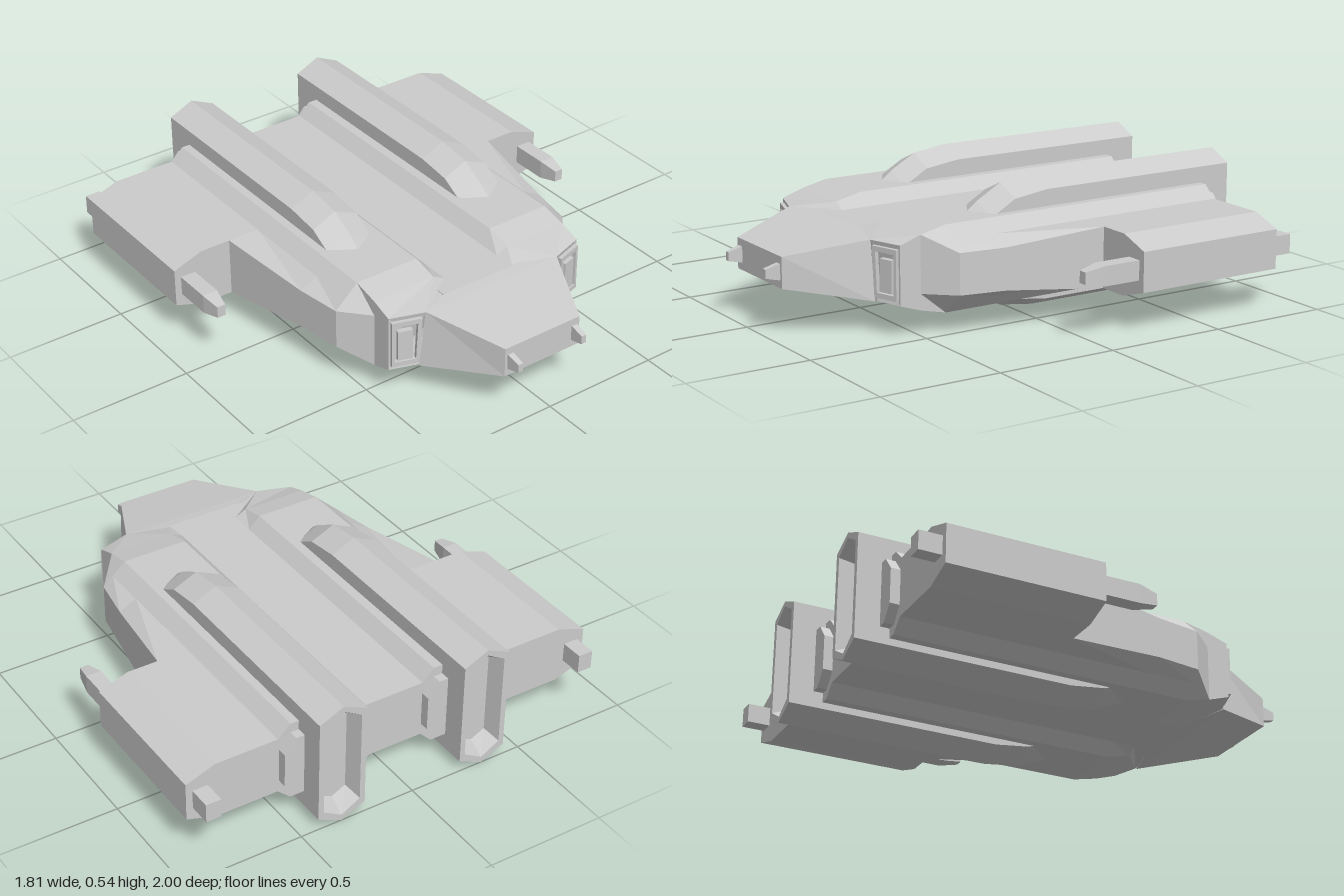
import * as THREE from 'three';

const material = new THREE.MeshStandardMaterial({ color: 0xcccccc, flatShading: true });

// Skin rings of [x, y, z] points (counter-clockwise seen from +z, listed back to front), capped at both ends
function loft(rings) {
  const pos = [];
  const tri = (a, b, c) => pos.push(...a, ...b, ...c);
  const n = rings[0].length;
  for (let i = 0; i < rings.length - 1; i++) {
    for (let j = 0; j < n; j++) {
      const k = (j + 1) % n, a = rings[i], b = rings[i + 1];
      tri(a[j], a[k], b[k]);
      tri(a[j], b[k], b[j]);
    }
  }
  const cap = (ring, front) => {
    const c = [0, 1, 2].map(d => ring.reduce((s, p) => s + p[d], 0) / n);
    ring.forEach((p, j) => {
      const q = ring[(j + 1) % n];
      if (front) tri(c, p, q); else tri(c, q, p);
    });
  };
  cap(rings[0], false);
  cap(rings[rings.length - 1], true);
  const geo = new THREE.BufferGeometry();
  geo.setAttribute('position', new THREE.Float32BufferAttribute(pos, 3));
  geo.computeVertexNormals();
  return geo;
}

const at = (points, z) => points.map(([x, y]) => [x, y, z]);
const rect = (x, w, y0, y1, z) => at([[x - w, y0], [x + w, y0], [x + w, y1], [x - w, y1]], z);
const flip = rings => rings.map(r => r.map(([x, y, z]) => [-x, y, z]).reverse());

export function createModel() {
  const model = new THREE.Group();
  const add = (name, geo, parent = model) => {
    const mesh = new THREE.Mesh(geo, material);
    mesh.name = name;
    parent.add(mesh);
    return mesh;
  };
  const addPair = (name, rings) => {
    add(name + 'Left', loft(rings));
    add(name + 'Right', loft(flip(rings)));
  };

  // Wing slab with chamfered tips
  const wing = [[-0.78, 0.13], [0.78, 0.13], [0.905, 0.17], [0.905, 0.33],
    [0.78, 0.375], [-0.78, 0.375], [-0.905, 0.33], [-0.905, 0.17]];
  add('wing', loft([at(wing, -0.86), at(wing, -0.21)]));

  // Central hull running into the tapered nose
  const nose = (top, bottom, y0, y1, z) => at([[-bottom, y0], [bottom, y0], [top, y1], [-top, y1]], z);
  add('hullAndNose', loft([
    nose(0.2, 0.2, 0.13, 0.375, -0.22),
    nose(0.2, 0.2, 0.13, 0.375, 0.59),
    nose(0.32, 0.35, 0.135, 0.37, 0.635),
    nose(0.18, 0.18, 0.19, 0.315, 0.94),
  ]));

  // Long side pods with faceted front ends
  const pod = [[0.13, 0.13], [0.18, 0.08], [0.46, 0.08], [0.56, 0.17],
    [0.56, 0.335], [0.46, 0.425], [0.18, 0.425], [0.13, 0.375]];
  const podShoulder = [[0.13, 0.13], [0.18, 0.105], [0.46, 0.105], [0.46, 0.17],
    [0.46, 0.335], [0.46, 0.4], [0.18, 0.4], [0.13, 0.375]];
  addPair('pod', [
    at(pod, -0.86),
    at(pod, 0.39),
    at(podShoulder, 0.5),
    [[0.13, 0.135, 0.6], [0.35, 0.135, 0.627], [0.46, 0.135, 0.59], [0.46, 0.17, 0.59],
      [0.46, 0.335, 0.59], [0.46, 0.37, 0.59], [0.32, 0.37, 0.637], [0.13, 0.37, 0.6]],
  ]);

  // Octagonal engine blocks behind the pods
  const engine = [[0.18, 0.12], [0.46, 0.12], [0.51, 0.18], [0.51, 0.325],
    [0.46, 0.385], [0.18, 0.385], [0.13, 0.325], [0.13, 0.18]];
  addPair('engineBlock', [at(engine, -0.9), at(engine, -0.85)]);

  // Fairings blending the wing into the pods
  const fairing = (x, y0, y1, z) => at([[0.5, 0.13], [0.515, 0.13], [x, y0], [x, y1], [0.515, 0.375], [0.5, 0.375]], z);
  addPair('wingFairing', [
    fairing(0.65, 0.13, 0.375, -0.22),
    fairing(0.65, 0.13, 0.375, -0.21),
    fairing(0.59, 0.168, 0.337, 0.2),
    fairing(0.56, 0.17, 0.335, 0.39),
  ]);

  // Ridged spines through the pods, hollow at the back
  const spine = (w, low, high, z, shoulder = 0.047) => at([
    [0.322 - w, low + shoulder], [0.322, low], [0.322 + w, low + shoulder],
    [0.322 + w, high - shoulder], [0.322, high], [0.322 - w, high - shoulder]], z);
  addPair('spine', [
    spine(0.06, 0.07, 0.475, -0.93, 0.03),
    spine(0.08, 0.03, 0.515, -1),
    spine(0.103, 0.005, 0.538, -1),
    spine(0.103, 0.005, 0.54, -0.1),
    spine(0.103, 0.025, 0.52, 0.05),
    spine(0.103, 0.07, 0.458, 0.16),
    spine(0.103, 0.09, 0.42, 0.21),
  ]);

  // Guns through the wing tips
  addPair('wingGun', [
    rect(0.845, 0.032, 0.213, 0.292, -0.955),
    rect(0.845, 0.032, 0.213, 0.292, -0.05),
    rect(0.845, 0.018, 0.228, 0.276, 0.03),
  ]);

  // Small prongs on the nose
  addPair('noseProng', [
    rect(0.155, 0.013, 0.222, 0.285, 0.92),
    rect(0.155, 0.013, 0.222, 0.285, 0.945),
    rect(0.153, 0.011, 0.235, 0.27, 1),
  ]);

  // Framed ports on the slanted pod fronts
  const frame = new THREE.Shape([[-0.055, -0.1], [0.055, -0.1], [0.055, 0.1], [-0.068, 0.1]].map(p => new THREE.Vector2(...p)));
  frame.holes.push(new THREE.Path([[-0.042, -0.08], [-0.05, 0.08], [0.042, 0.08], [0.042, -0.08]].map(p => new THREE.Vector2(...p))));
  const frameGeo = new THREE.ExtrudeGeometry(frame, { depth: 0.018, bevelEnabled: false });
  for (const side of [1, -1]) {
    const port = new THREE.Group();
    port.name = side > 0 ? 'frontPortLeft' : 'frontPortRight';
    add('portFrame', frameGeo, port);
    add('portBlock', new THREE.BoxGeometry(0.06, 0.13, 0.032), port).position.set(0, -0.01, 0);
    port.position.set(0.398, 0.253, 0.605);
    port.rotation.y = 0.31;
    const mirror = new THREE.Group();
    mirror.name = port.name + 'Mount';
    mirror.scale.x = side;
    mirror.add(port);
    model.add(mirror);
  }
  return model;
}
